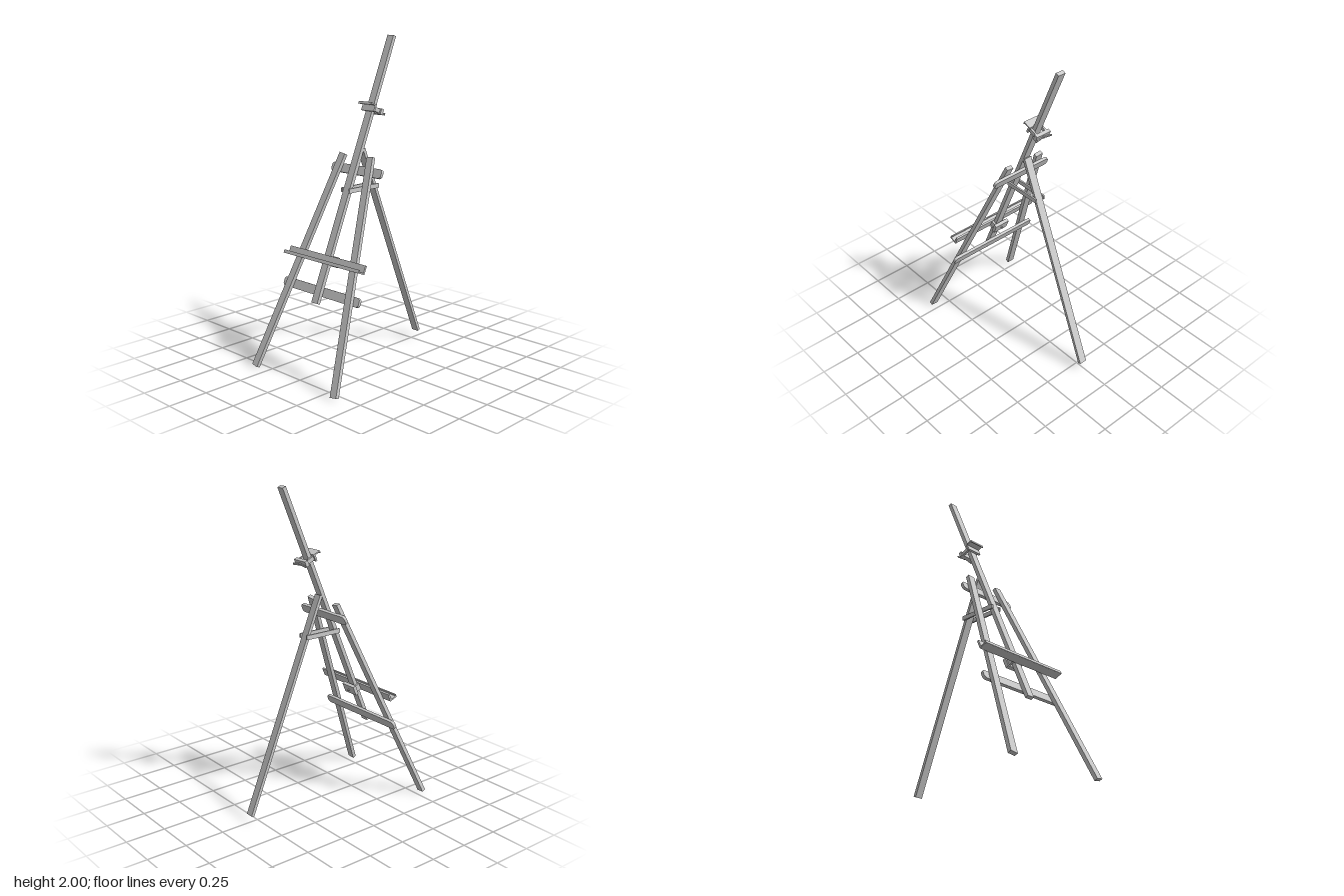
import * as THREE from 'three';

const material = new THREE.MeshStandardMaterial({ color: 0xcccccc, flatShading: true });

function add(parent, name, geometry, x, y, z) {
  const mesh = new THREE.Mesh(geometry, material);
  mesh.name = name;
  mesh.position.set(x, y, z);
  parent.add(mesh);
  return mesh;
}

const box = (parent, name, w, h, d, x, y, z) =>
  add(parent, name, new THREE.BoxGeometry(w, h, d), x, y, z);

// Flat rail with rounded corners, centred on its own origin
function railGeometry(w, h, d, r) {
  const x = w / 2, y = h / 2, s = new THREE.Shape();
  s.moveTo(-x + r, -y);
  s.absarc(x - r, -y + r, r, -Math.PI / 2, 0);
  s.absarc(x - r, y - r, r, 0, Math.PI / 2);
  s.absarc(-x + r, y - r, r, Math.PI / 2, Math.PI);
  s.absarc(-x + r, -y + r, r, Math.PI, Math.PI * 1.5);
  return new THREE.ExtrudeGeometry(s, { depth: d, bevelEnabled: false, curveSegments: 5 })
    .translate(0, 0, -d / 2);
}

// Sliding clamp: back block, side straps, bolt and wing nut
function addClamp(parent, name, y, height, back) {
  const clamp = new THREE.Group();
  clamp.name = name;
  clamp.position.y = y;
  box(clamp, 'clampBack', 0.104, height, 0.022, 0, 0, back + 0.011);
  for (const side of [-1, 1]) {
    box(clamp, 'clampStrap', 0.012, height * 0.7, 0.02 - back, side * 0.036, 0, (back + 0.02) / 2);
  }
  const bolt = add(clamp, 'bolt', new THREE.CylinderGeometry(0.006, 0.006, 0.014, 8), 0, 0, back - 0.005);
  bolt.rotation.x = Math.PI / 2;
  parent.add(clamp);
  return clamp;
}

export function createModel() {
  const easel = new THREE.Group();
  easel.name = 'easel';

  // Front frame leans backwards; its local y runs along the mast
  const frame = new THREE.Group();
  frame.name = 'frontFrame';
  frame.position.set(0, 0.01, 0.5525);
  frame.rotation.x = -0.3993;
  easel.add(frame);

  box(frame, 'mast', 0.05, 1.68, 0.024, 0, 1.315, 0);

  // Splayed front legs
  for (const [name, bottom, top] of [['leftLeg', 0.345, 0.11], ['rightLeg', -0.345, -0.12]]) {
    const length = Math.hypot(1.393, top - bottom);
    const leg = box(frame, name, 0.048, length, 0.024, (bottom + top) / 2, 0.6965, 0);
    leg.rotation.z = Math.atan2(bottom - top, 1.393);
  }

  // Cross rails on the back of the legs
  add(frame, 'lowerRail', railGeometry(0.645, 0.056, 0.018, 0.02), -0.003, 0.55, -0.021);
  add(frame, 'upperRail', railGeometry(0.415, 0.056, 0.018, 0.02), 0.007, 1.307, -0.021);

  // Canvas tray with upright lip
  box(frame, 'trayBoard', 0.64, 0.052, 0.012, 0.005, 0.742, 0.02);
  box(frame, 'trayShelf', 0.64, 0.009, 0.05, 0.005, 0.718, 0.04);
  box(frame, 'trayLip', 0.64, 0.02, 0.007, 0.005, 0.724, 0.065);
  addClamp(frame, 'trayClamp', 0.742, 0.062, -0.042);

  // Upper canvas holder with hooked lip
  box(frame, 'holderBoard', 0.104, 0.044, 0.012, 0, 1.69, 0.02);
  box(frame, 'holderTop', 0.104, 0.008, 0.05, 0, 1.709, 0.038);
  box(frame, 'holderLip', 0.104, 0.016, 0.006, 0, 1.705, 0.062);
  const holder = addClamp(frame, 'holderClamp', 1.688, 0.036, -0.058);
  for (const side of [-1, 1]) {
    const wing = box(holder, 'wing', 0.06, 0.012, 0.006, side * 0.03, -0.008, -0.063);
    wing.rotation.y = side * 0.15;
  }

  // Rear leg leaning forward to meet the mast
  const rear = box(easel, 'rearLeg', 0.05, 1.39, 0.02, 0, 0.69, -0.285);
  rear.rotation.x = Math.atan2(0.53, 1.29);

  // Paired braces between mast and rear leg
  for (const side of [-1, 1]) {
    const brace = add(easel, 'brace', railGeometry(0.255, 0.028, 0.01, 0.005), side * 0.031, 1.094, -0.012);
    brace.rotation.y = Math.PI / 2;
  }

  return easel;
}
